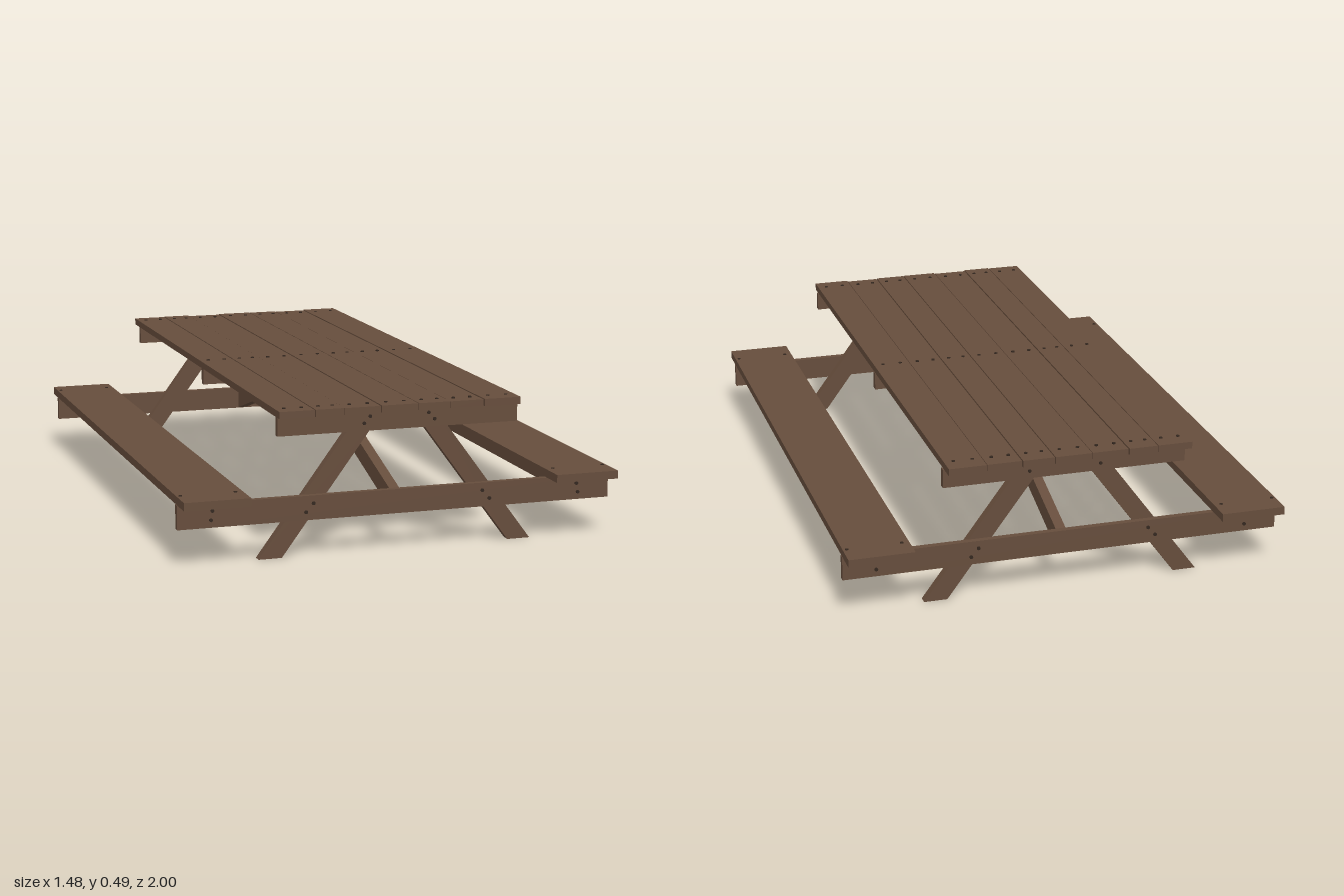
import * as THREE from 'three';

const wood = new THREE.MeshStandardMaterial({ name: 'brown wood', color: 0x664d3c });
const iron = new THREE.MeshStandardMaterial({ name: 'dark screws', color: 0x33271f });

export function createModel() {
  const model = new THREE.Group();
  model.name = 'picnicTable';

  const add = (name, geometry, material = wood) => {
    const mesh = new THREE.Mesh(geometry, material);
    mesh.name = name;
    model.add(mesh);
    return mesh;
  };

  // Timber given by its limits on each axis
  const beam = (name, x0, x1, y0, y1, z0, z1) => {
    const mesh = add(name, new THREE.BoxGeometry(x1 - x0, y1 - y0, z1 - z0));
    mesh.position.set((x0 + x1) / 2, (y0 + y1) / 2, (z0 + z1) / 2);
    return mesh;
  };

  // Slanted timber: a side outline given thickness about its own middle
  const slanted = (points, thickness) => {
    const shape = new THREE.Shape(points.map(([a, b]) => new THREE.Vector2(a, b)));
    return new THREE.ExtrudeGeometry(shape, { depth: thickness, bevelEnabled: false })
      .translate(0, 0, -thickness / 2);
  };

  // Screw heads, facing up or along z
  const headUp = new THREE.CylinderGeometry(0.006, 0.006, 0.006, 8);
  const headOut = headUp.clone().rotateX(Math.PI / 2);
  const screw = (geometry, x, y, z) => add('screw', geometry, iron).position.set(x, y, z);

  // Tabletop planks, slightly uneven in length, with narrow gaps
  const edges = [-0.415, -0.296, -0.197, -0.074, 0.052, 0.16, 0.277, 0.405];
  const joists = [-0.916, 0.003, 0.905];
  for (let i = 0; i < 7; i++) {
    const a = edges[i] + 0.0015, b = edges[i + 1] - 0.0015;
    const shift = 0.003 * Math.sin(i * 2.3);
    beam('tablePlank', a, b, 0.466, 0.489 + shift / 3, -0.974 - shift, 0.955 + shift);
    for (const z of joists)
      for (const t of [0.25, 0.75]) screw(headUp, a + (b - a) * t, 0.489, z);
  }

  // Middle joist under the tabletop
  beam('middleJoist', -0.405, 0.405, 0.405, 0.466, -0.012, 0.012);

  // End frames: joist and bench support outside, splayed legs inside
  for (const end of [1, -1]) {
    const zs = (inner, outer) => (end > 0 ? [inner, outer] : [-outer, -inner]);
    beam('endJoist', -0.41, 0.408, 0.403, 0.466, ...zs(0.9, 0.92));
    beam('benchSupport', -0.74, 0.74, 0.123, 0.203, ...zs(0.897, 0.918));
    for (const side of [1, -1]) {
      const leg = [[0.468, 0], [0.39, 0], [0.045, 0.466], [0.123, 0.466]];
      add('leg', slanted(leg.map(([x, y]) => [x * side, y]), 0.03)).position.z = end * 0.884;
      for (const [x, y] of [[0.1, 0.45], [0.12, 0.428], [0.29, 0.178], [0.315, 0.15], [0.625, 0.178], [0.63, 0.148]])
        screw(headOut, x * side, y, end * 0.92);
    }

    // Diagonal brace from the middle joist down to the bench support
    const brace = [[0, 0.466], [0, 0.403], [0.897, 0.125], [0.897, 0.19]];
    add('diagonalBrace', slanted(brace.map(([z, y]) => [z * end, y]), 0.034).rotateY(-Math.PI / 2));
  }

  // Benches, each with a stiffening beam underneath
  for (const side of [1, -1]) {
    const xs = (a, b) => (side > 0 ? [a, b] : [-b, -a]);
    beam('benchSeat', ...xs(0.52, 0.738), 0.203, 0.23, -1, 1);
    beam('benchStiffener', ...xs(0.615, 0.645), 0.13, 0.203, -0.897, 0.897);
    for (const z of [-0.92, 0.905])
      for (const x of [0.545, 0.725]) screw(headUp, x * side, 0.229, z);
  }
  return model;
}
